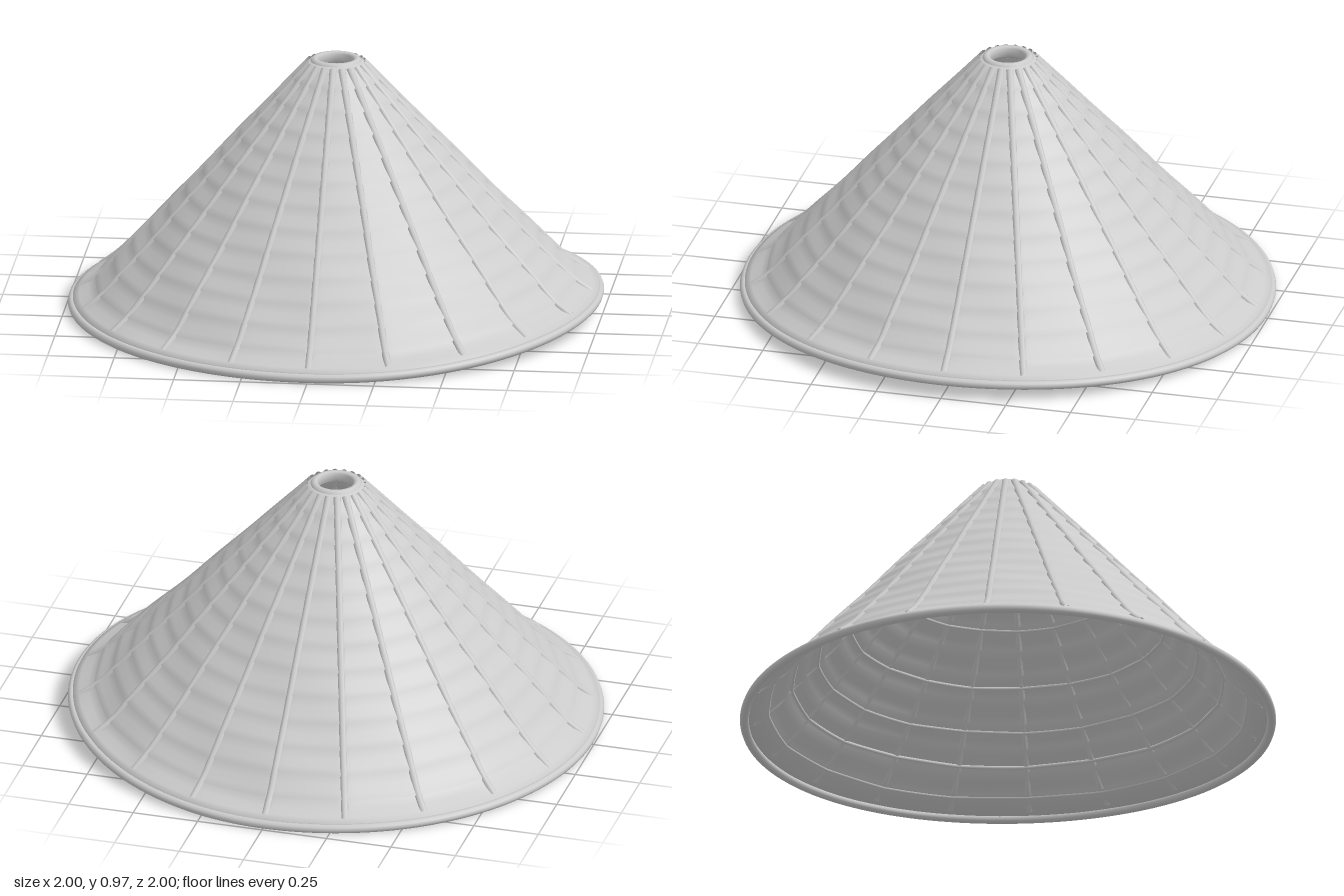
import * as THREE from 'three';
import { mergeVertices } from 'three/addons/utils/BufferGeometryUtils.js';

const RIBS = 20;
const COURSES = 13;
const STEP = (Math.PI * 2) / RIBS;

// Slightly concave slope of the cone, from crown to brim (radius, height)
const slope = new THREE.CatmullRomCurve3(
  [[0.092, 0.962], [0.27, 0.768], [0.435, 0.588], [0.645, 0.355], [0.8, 0.188], [0.905, 0.08], [0.978, 0.03]]
    .map(([r, y]) => new THREE.Vector3(r, y, 0)));

// Point on the slope, moved out along its normal
function slopePoint(t, offset) {
  const p = slope.getPointAt(t);
  const d = slope.getTangentAt(t);
  return new THREE.Vector2(p.x - d.y * offset, p.y + d.x * offset);
}

// Flattens the panels between ribs, adds a gentle unevenness and lifts the left side of the brim
function warp(v) {
  const r = Math.hypot(v.x, v.z);
  const a = Math.atan2(v.z, v.x);
  const local = a - Math.floor(a / STEP) * STEP - STEP / 2;
  const chord = Math.cos(STEP / 2) / Math.cos(local);
  const k = r > 0.95 ? 1 : 1 - (1 - chord) * 0.6;
  v.x *= k;
  v.z *= k;
  v.y += 0.05 * Math.max(0, v.x) ** 2;
  if (r < 0.93 && r > 0.15) v.y += 0.003 * Math.sin(a * 7 + r * 23) * r;
  return v;
}

function warpGeometry(geometry) {
  geometry.deleteAttribute('uv');
  geometry.deleteAttribute('normal');
  const pos = geometry.attributes.position;
  const v = new THREE.Vector3();
  for (let i = 0; i < pos.count; i++) {
    warp(v.fromBufferAttribute(pos, i));
    pos.setXYZ(i, v.x, v.y, v.z);
  }
  const merged = mergeVertices(geometry, 1e-5);
  merged.computeVertexNormals();
  return merged;
}

export function createModel() {
  const group = new THREE.Group();
  const material = new THREE.MeshStandardMaterial({ color: 0xcccccc, roughness: 0.9, side: THREE.DoubleSide });
  const add = (name, geometry, parent = group) => {
    const mesh = new THREE.Mesh(geometry, material);
    mesh.name = name;
    parent.add(mesh);
    return mesh;
  };

  // Woven shell: overlapping courses outside, the same steps inside
  const outer = [];
  const inner = [];
  for (let c = 0; c < COURSES; c++) {
    for (const f of [0.03, 0.35, 0.7, 0.97]) {
      const t = (c + f) / COURSES;
      outer.push(slopePoint(t, 0.004 + 0.007 * f));
      inner.push(slopePoint(t, -0.012 + 0.007 * f));
    }
  }
  const shell = [...outer.reverse(), ...inner];
  shell.push(shell[0].clone());
  add('wovenShell', warpGeometry(new THREE.LatheGeometry(shell, 160)));

  // Radial ribs, showing on both faces of the shell
  const ribs = new THREE.Group();
  ribs.name = 'ribs';
  group.add(ribs);
  for (let i = 0; i < RIBS; i++) {
    const a = i * STEP;
    const path = [];
    for (let j = 0; j <= 14; j++) {
      const p = slopePoint(0.01 + 0.97 * j / 14, 0.001);
      path.push(warp(new THREE.Vector3(p.x * Math.cos(a), p.y, p.x * Math.sin(a))));
    }
    add('rib', new THREE.TubeGeometry(new THREE.CatmullRomCurve3(path), 32, 0.0145, 8), ribs);
  }

  // Thin hoops tied under the shell
  const hoops = new THREE.Group();
  hoops.name = 'innerHoops';
  group.add(hoops);
  for (const t of [0.2, 0.4, 0.58, 0.72, 0.83, 0.93]) {
    const p = slopePoint(t, -0.008);
    const hoop = new THREE.TorusGeometry(p.x, 0.007, 6, 120).rotateX(Math.PI / 2).translate(0, p.y, 0);
    add('innerHoop', warpGeometry(hoop), hoops);
  }

  // Rolled brim edge
  const rim = new THREE.TorusGeometry(0.983, 0.017, 10, 160).rotateX(Math.PI / 2).translate(0, 0.021, 0);
  add('brimEdge', warpGeometry(rim));

  // Collar round the open crown
  const collar = [[0.108, 0.93], [0.094, 0.962], [0.086, 0.972], [0.074, 0.972], [0.066, 0.964], [0.066, 0.935], [0.085, 0.92], [0.108, 0.93]]
    .map(([r, y]) => new THREE.Vector2(r, y));
  add('crownCollar', new THREE.LatheGeometry(collar, 48));

  return group;
}
